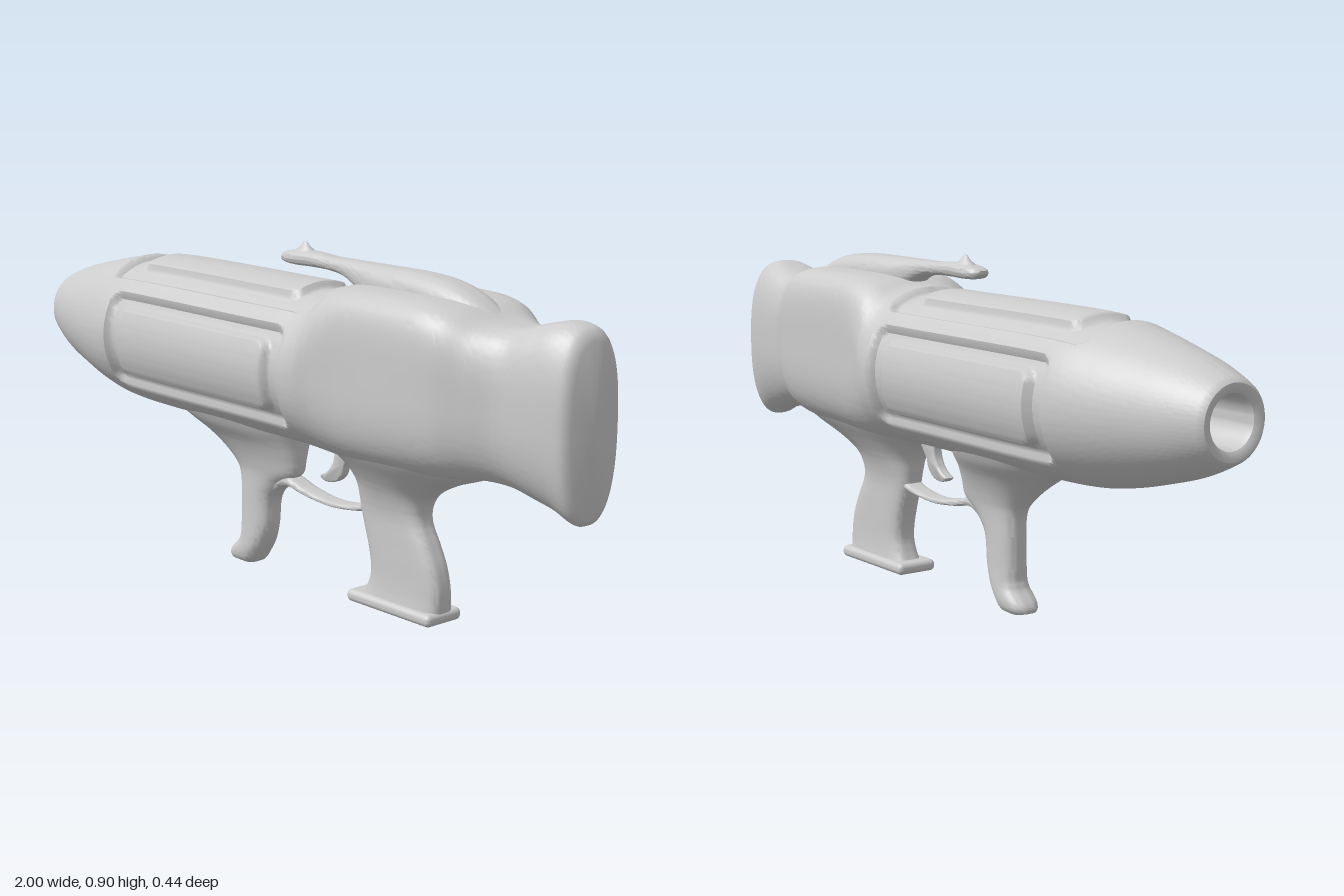
import * as THREE from 'three';
import { toCreasedNormals } from 'three/addons/utils/BufferGeometryUtils.js';
import { RoundedBoxGeometry } from 'three/addons/geometries/RoundedBoxGeometry.js';

const grey = new THREE.MeshStandardMaterial({ color: 0xcccccc });
const greyDouble = new THREE.MeshStandardMaterial({ color: 0xcccccc, side: THREE.DoubleSide });

// Smooth interpolation of key rows [u, lo, hi, half, nHi, nLo] at position u
function sampleKeys(keys, u) {
  let i = 0;
  while (i < keys.length - 2 && u > keys[i + 1][0]) i++;
  const a = keys[i], b = keys[i + 1], h = b[0] - a[0], t = (u - a[0]) / h;
  const slope = (k, c) => {
    const p = keys[Math.max(k - 1, 0)], q = keys[Math.min(k + 1, keys.length - 1)];
    return (q[c] - p[c]) / (q[0] - p[0]);
  };
  const t2 = t * t, t3 = t2 * t;
  return a.map((v, c) => (2 * t3 - 3 * t2 + 1) * v + (t3 - 2 * t2 + t) * h * slope(i, c)
    + (3 * t2 - 2 * t3) * b[c] + (t3 - t2) * h * slope(i + 1, c));
}

// Loft superellipse sections along x or y; dig(u, angle) lowers the surface
function loft(axis, rows, { steps = 40, sides = 40, dig = null, capStart = true } = {}) {
  const keys = rows.map(r => [r[0], r[1], r[2], r[3], r[4] ?? 2.5, r[5] ?? r[4] ?? 2.5]);
  const us = keys.map(k => k[0]), first = us[0], last = us[us.length - 1];
  for (let i = 1; i < steps; i++) us.push(first + (last - first) * i / steps);
  us.sort((a, b) => a - b);
  const list = us.filter((u, i) => i === 0 || u - us[i - 1] > 1e-5);
  const pos = [], idx = [];
  const put = (u, s, z) => (axis === 'x' ? pos.push(u, s, z) : pos.push(s, u, z));
  const tri = (a, b, c) => (axis === 'x' ? idx.push(a, b, c) : idx.push(a, c, b));
  for (const u of list) {
    const [, lo, hi, half, nHi, nLo] = sampleKeys(keys, u);
    for (let j = 0; j < sides; j++) {
      const t = j / sides * Math.PI * 2, c = Math.cos(t), s = Math.sin(t), n = s > 0 ? nHi : nLo;
      const r = (Math.abs(c) ** n + Math.abs(s) ** n) ** (-1 / n) - (dig ? dig(u, t) / half : 0);
      put(u, (lo + hi) / 2 + (hi - lo) / 2 * r * s, half * r * c);
    }
  }
  for (let i = 0; i < list.length - 1; i++) for (let j = 0; j < sides; j++) {
    const a = i * sides + j, b = i * sides + (j + 1) % sides;
    tri(a, a + sides, b);
    tri(b, a + sides, b + sides);
  }
  const cap = (row, end) => {
    const k = keys[end ? keys.length - 1 : 0], centre = pos.length / 3;
    put(k[0], (k[1] + k[2]) / 2, 0);
    for (let j = 0; j < sides; j++) {
      const a = row * sides + j, b = row * sides + (j + 1) % sides;
      end ? tri(centre, b, a) : tri(centre, a, b);
    }
  };
  if (capStart) cap(0, false);
  cap(list.length - 1, true);
  const g = new THREE.BufferGeometry();
  g.setAttribute('position', new THREE.Float32BufferAttribute(pos, 3));
  g.setIndex(idx);
  return toCreasedNormals(g, 0.75);
}

// Sunken frames with a raised panel inside, on both sides and the top of the barrel
const panels = [
  { angle: -0.05, x: -0.21, frame: [0.36, 0.138], inner: [0.31, 0.1] },
  { angle: Math.PI + 0.05, x: -0.21, frame: [0.36, 0.138], inner: [0.31, 0.1] },
  { angle: Math.PI / 2, x: -0.23, frame: [0.4, 0.152], inner: [0.325, 0.095] },
];
function inside(dx, da, [hx, ha]) {
  const r = 0.03, qx = Math.abs(dx) - hx + r, qa = Math.abs(da) - ha + r;
  const d = Math.hypot(Math.max(qx, 0), Math.max(qa, 0)) + Math.min(Math.max(qx, qa), 0) - r;
  return 1 - THREE.MathUtils.smoothstep(d, -0.009, 0.009);
}
function panelDepth(x, t) {
  let depth = 0;
  for (const p of panels) {
    const d = t - p.angle, arc = Math.atan2(Math.sin(d), Math.cos(d)) * 0.215;
    depth += 0.02 * (inside(x - p.x, arc, p.frame) - inside(x - p.x, arc, p.inner));
  }
  return depth;
}

export function createModel() {
  const model = new THREE.Group();
  const add = (name, geometry, material = grey) => {
    const mesh = new THREE.Mesh(geometry, material);
    mesh.name = name;
    model.add(mesh);
    return mesh;
  };

  // Barrel, boxy receiver and shoulder stock in one flowing hull
  add('body', loft('x', [
    [-1, 0.515, 0.695, 0.09, 2], [-0.99, 0.505, 0.705, 0.1, 2], [-0.9, 0.465, 0.737, 0.137, 2],
    [-0.8, 0.435, 0.762, 0.167, 2], [-0.7, 0.41, 0.784, 0.195, 2], [-0.6, 0.394, 0.803, 0.215, 2],
    [-0.45, 0.388, 0.81, 0.22, 2], [0.1, 0.388, 0.81, 0.22, 2], [0.2, 0.388, 0.81, 0.215, 2.2],
    [0.26, 0.388, 0.826, 0.197, 3.4, 2.6], [0.35, 0.39, 0.834, 0.185, 5, 3], [0.58, 0.4, 0.834, 0.185, 5, 3],
    [0.66, 0.41, 0.822, 0.175, 4.5, 3], [0.73, 0.417, 0.797, 0.147, 3.5, 2.7], [0.8, 0.412, 0.792, 0.118, 3, 2.5],
    [0.87, 0.395, 0.81, 0.112, 2.8, 2.4], [0.93, 0.38, 0.822, 0.108, 2.7, 2.4], [0.975, 0.36, 0.815, 0.1, 2.6, 2.4],
    [0.992, 0.362, 0.8, 0.09, 2.6, 2.4], [1, 0.378, 0.785, 0.075, 2.6, 2.4],
  ], { steps: 250, sides: 168, dig: panelDepth, capStart: false }));

  // Muzzle lip and bore
  const lip = [[0, -0.8], [0.062, -0.8], [0.062, -0.975], [0.066, -0.992], [0.078, -1], [0.091, -0.999]];
  const bore = new THREE.LatheGeometry(lip.map(p => new THREE.Vector2(...p)), 48).rotateZ(-Math.PI / 2);
  add('muzzleBore', toCreasedNormals(bore, 0.75), greyDouble).position.y = 0.605;

  // Sighting rail overhanging the barrel and running into the receiver roof
  add('sightRail', loft('x', [
    [-0.057, 0.857, 0.867, 0.012], [-0.045, 0.846, 0.873, 0.026], [0, 0.842, 0.88, 0.036],
    [0.06, 0.843, 0.882, 0.033], [0.14, 0.841, 0.877, 0.03], [0.2, 0.83, 0.877, 0.034], [0.26, 0.8, 0.877, 0.043],
    [0.32, 0.78, 0.877, 0.055], [0.46, 0.77, 0.876, 0.062], [0.56, 0.76, 0.866, 0.062],
    [0.64, 0.75, 0.84, 0.055], [0.72, 0.74, 0.795, 0.04],
  ], { steps: 60 }));
  const bead = new THREE.LatheGeometry(
    [[0.05, 0], [0.035, 0.012], [0.016, 0.024], [0.008, 0.034], [0, 0.038]].map(p => new THREE.Vector2(...p)), 24);
  bead.scale(1, 1, 0.6).translate(0.02, 0.867, 0);
  add('frontSight', bead);

  // Grips flaring into the underside
  add('foregrip', loft('y', [
    [0, -0.235, -0.185, 0.02], [0.009, -0.265, -0.165, 0.037], [0.03, -0.262, -0.15, 0.045],
    [0.07, -0.225, -0.125, 0.044], [0.12, -0.22, -0.107, 0.042], [0.2, -0.22, -0.094, 0.042],
    [0.25, -0.225, -0.05, 0.044], [0.28, -0.24, -0.005, 0.048], [0.32, -0.285, 0.003, 0.06],
    [0.36, -0.345, 0.006, 0.08], [0.4, -0.42, 0.012, 0.11], [0.44, -0.47, 0.02, 0.13],
  ], { steps: 50 }));
  add('rearGrip', loft('y', [
    [0.02, 0.265, 0.54, 0.05, 4], [0.06, 0.288, 0.542, 0.044, 4], [0.1, 0.3, 0.54, 0.042, 4],
    [0.15, 0.294, 0.527, 0.042, 4], [0.2, 0.28, 0.503, 0.042, 4], [0.25, 0.263, 0.478, 0.043, 3.5],
    [0.29, 0.255, 0.478, 0.05, 3], [0.33, 0.245, 0.505, 0.065, 2.6], [0.37, 0.215, 0.58, 0.09],
    [0.41, 0.16, 0.69, 0.12], [0.44, 0.12, 0.74, 0.14],
  ], { steps: 50 }));
  add('gripBase', new RoundedBoxGeometry(0.3, 0.032, 0.12, 4, 0.014)).position.set(0.395, 0.026, 0);

  // Trigger guard and hooked trigger
  add('triggerGuard', loft('x', [
    [-0.12, 0.19, 0.27, 0.03, 3], [-0.04, 0.246, 0.278, 0.03, 3], [0.04, 0.237, 0.256, 0.028, 3],
    [0.14, 0.228, 0.243, 0.026, 3], [0.24, 0.238, 0.254, 0.028, 3], [0.31, 0.252, 0.285, 0.03, 3],
  ]));
  const hook = new THREE.Shape();
  hook.moveTo(0.15, 0.4);
  hook.quadraticCurveTo(0.16, 0.325, 0.095, 0.302);
  hook.quadraticCurveTo(0.105, 0.29, 0.13, 0.293);
  hook.quadraticCurveTo(0.175, 0.3, 0.18, 0.345);
  hook.quadraticCurveTo(0.2, 0.365, 0.22, 0.4);
  const trigger = new THREE.ExtrudeGeometry(hook, {
    depth: 0.016, curveSegments: 10, bevelThickness: 0.006, bevelSize: 0.003, bevelSegments: 2,
  }).translate(0, 0, -0.008);
  add('trigger', toCreasedNormals(trigger, 0.7));

  return model;
}
